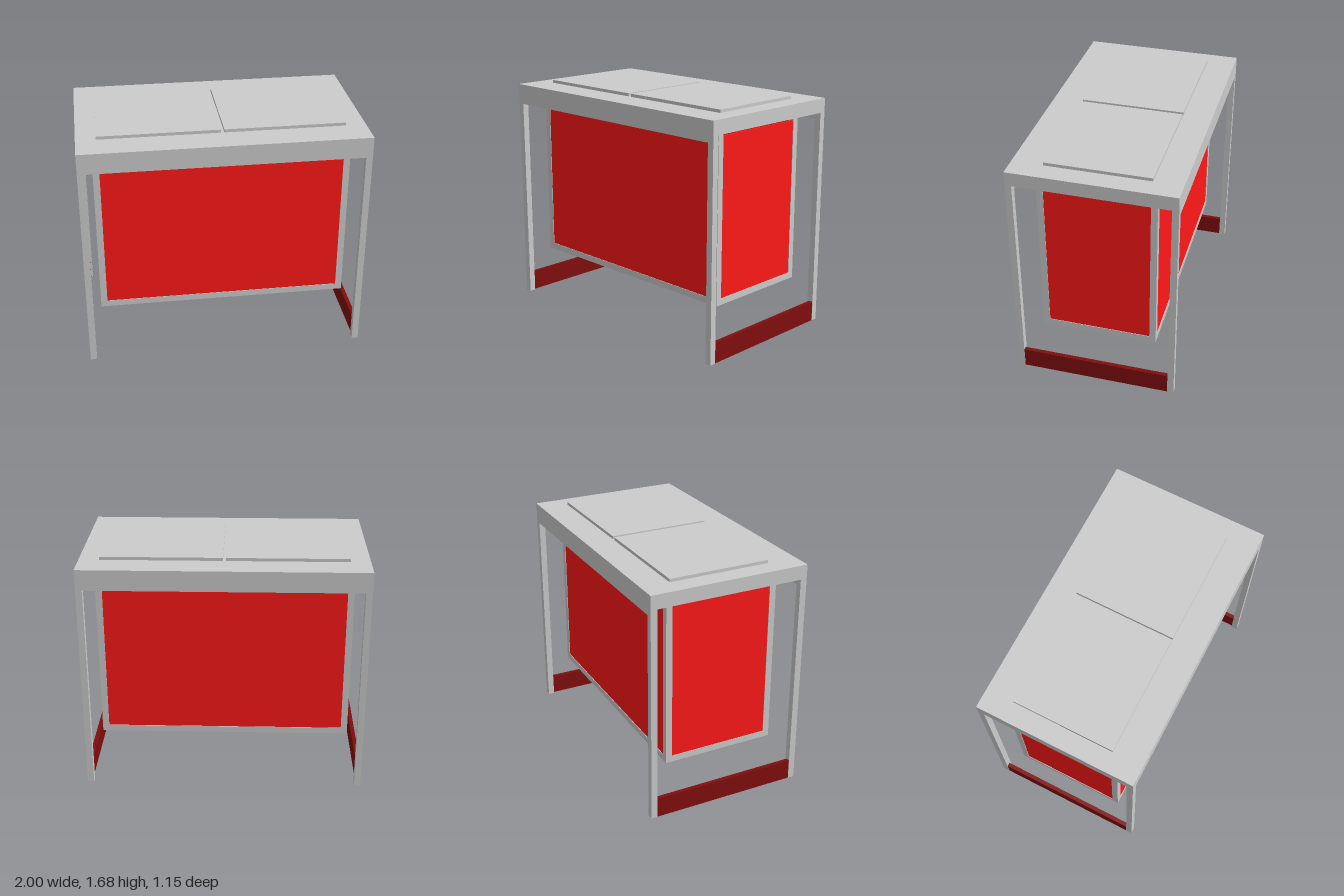
import * as THREE from 'three';

const grey = new THREE.MeshStandardMaterial({ color: 0xcccccc });
const red = new THREE.MeshStandardMaterial({ color: 0xff1818 });
const darkRed = new THREE.MeshStandardMaterial({ color: 0x800d0d });

// Box given by its minimum and maximum on each axis
function block(parent, name, [x0, x1], [y0, y1], [z0, z1], material = grey) {
  const mesh = new THREE.Mesh(new THREE.BoxGeometry(x1 - x0, y1 - y0, z1 - z0), material);
  mesh.position.set((x0 + x1) / 2, (y0 + y1) / 2, (z0 + z1) / 2);
  mesh.name = name;
  parent.add(mesh);
}

// Range running inward from the outer face on the given side
const edge = (side, outer, thick) =>
  side > 0 ? [outer - thick, outer] : [-outer, -outer + thick];

export function createModel() {
  const model = new THREE.Group();
  model.name = 'cabinetTable';
  const bar = 0.046;

  // Table top with deeper front and back aprons
  const table = new THREE.Group();
  table.name = 'table';
  model.add(table);
  block(table, 'tableTop', [-1, 1], [1.56, 1.66], [-0.576, 0.576]);
  for (const s of [1, -1]) {
    block(table, s > 0 ? 'frontApron' : 'backApron', [-1, 1], [1.513, 1.56], edge(s, 0.576, bar));
  }

  // Legs, with a dark kick board between each pair
  for (const sx of [1, -1]) {
    for (const sz of [1, -1]) {
      block(table, 'leg', edge(sx, 1, bar), [0, 1.513], edge(sz, 0.576, bar));
    }
    block(table, 'kickBoard', edge(sx, 0.998, 0.03), [0, 0.146], [-0.53, 0.53], darkRed);
  }

  // Two lids lying on the top
  block(model, 'rightLid', [-0.86, -0.013], [1.66, 1.682], [-0.373, 0.357]);
  block(model, 'leftLid', [0.01, 0.857], [1.66, 1.682], [-0.373, 0.357]);

  // Hanging cabinet frame with its red panels
  const cabinet = new THREE.Group();
  cabinet.name = 'cabinet';
  cabinet.position.set(-0.003, 0, -0.005);
  model.add(cabinet);
  const w = 0.894, d = 0.41, low = 0.342, inset = 0.004, sheet = 0.02;
  const innerX = [-w + bar, w - bar], innerZ = [-d + bar, d - bar];
  const railY = [low, low + bar], panelY = [low + bar, 1.513];
  for (const s of [1, -1]) {
    for (const sz of [1, -1]) block(cabinet, 'post', edge(s, w, bar), [low, 1.56], edge(sz, d, bar));
    block(cabinet, 'sideRail', edge(s, w, bar), railY, innerZ);
    block(cabinet, 'longRail', innerX, railY, edge(s, d, bar));
    block(cabinet, 'sidePanel', edge(s, w - inset, sheet), panelY, innerZ, red);
    block(cabinet, s > 0 ? 'frontPanel' : 'backPanel', innerX, panelY, edge(s, d - inset, sheet), red);
  }
  block(cabinet, 'floorPanel', innerX, [low + bar - sheet, low + bar], innerZ, red);

  return model;
}
